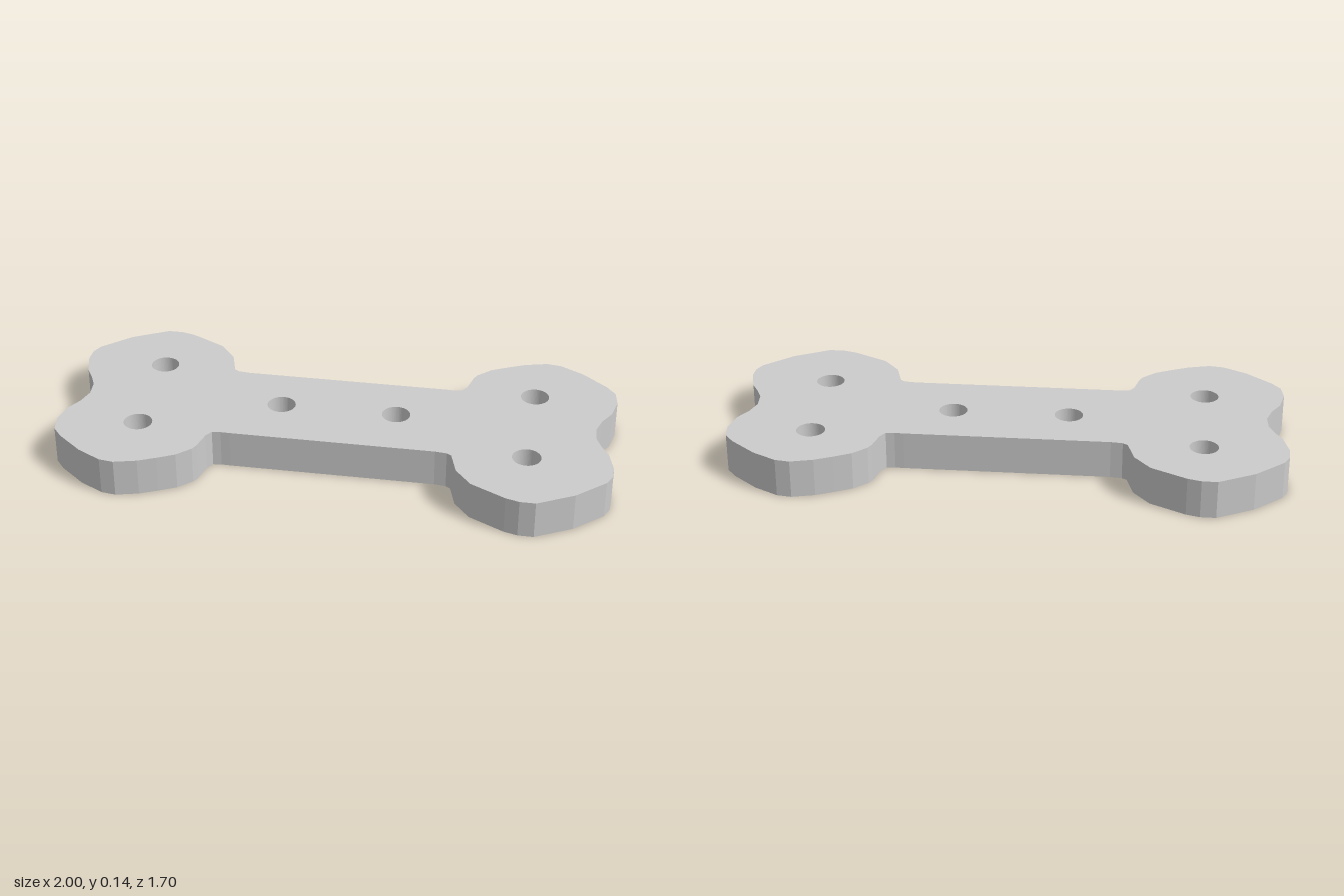
import * as THREE from 'three';

const HEIGHT = 0.144;
const HOLE_RADIUS = 0.053;

// Half of the outline as [x, z]: round one two-lobed end, then along the shaft
const HALF_OUTLINE = [
  [-0.485, -0.072], [-0.515, -0.06], [-0.57, -0.012], [-0.593, 0.0], [-0.66, 0.01],
  [-0.73, 0.0], [-0.8, -0.013], [-0.88, -0.043], [-0.92, -0.08], [-0.965, -0.17],
  [-0.997, -0.29], [-1.0, -0.345], [-0.97, -0.405], [-0.91, -0.46], [-0.85, -0.487],
  [-0.8, -0.525], [-0.767, -0.58], [-0.757, -0.63], [-0.752, -0.685], [-0.72, -0.77],
  [-0.687, -0.812], [-0.65, -0.833], [-0.51, -0.851], [-0.36, -0.833], [-0.313, -0.8],
  [-0.28, -0.76], [-0.212, -0.63], [-0.205, -0.535], [-0.236, -0.445], [-0.228, -0.425],
  [-0.195, -0.396], [0.43, 0.037], [0.457, 0.057],
];

// Hole centres as [x, z]: two at each end, two in the shaft
const HOLES = [
  [-0.467, -0.595], [-0.706, -0.255], [-0.176, -0.134],
  [0.181, 0.114], [0.713, 0.231], [0.476, 0.572],
];

export function createModel() {
  const group = new THREE.Group();
  group.name = 'bonePlate';

  // The second half is the first turned by 180 degrees
  const outline = [...HALF_OUTLINE, ...HALF_OUTLINE.map(([x, z]) => [-x, -z])];
  const shape = new THREE.Shape(outline.map(([x, z]) => new THREE.Vector2(x, -z)));

  // Round through holes, wound against the clockwise outline so their walls face inward
  for (const [x, z] of HOLES) {
    shape.holes.push(new THREE.Path().absarc(x, -z, HOLE_RADIUS, 0, Math.PI * 2, false));
  }

  // Flat plate lying on the ground
  const geometry = new THREE.ExtrudeGeometry(shape, {
    depth: HEIGHT, bevelEnabled: false, curveSegments: 32,
  });
  geometry.rotateX(-Math.PI / 2);

  const plate = new THREE.Mesh(geometry, new THREE.MeshStandardMaterial({ color: 0xcccccc }));
  plate.name = 'plate';
  group.add(plate);
  return group;
}
